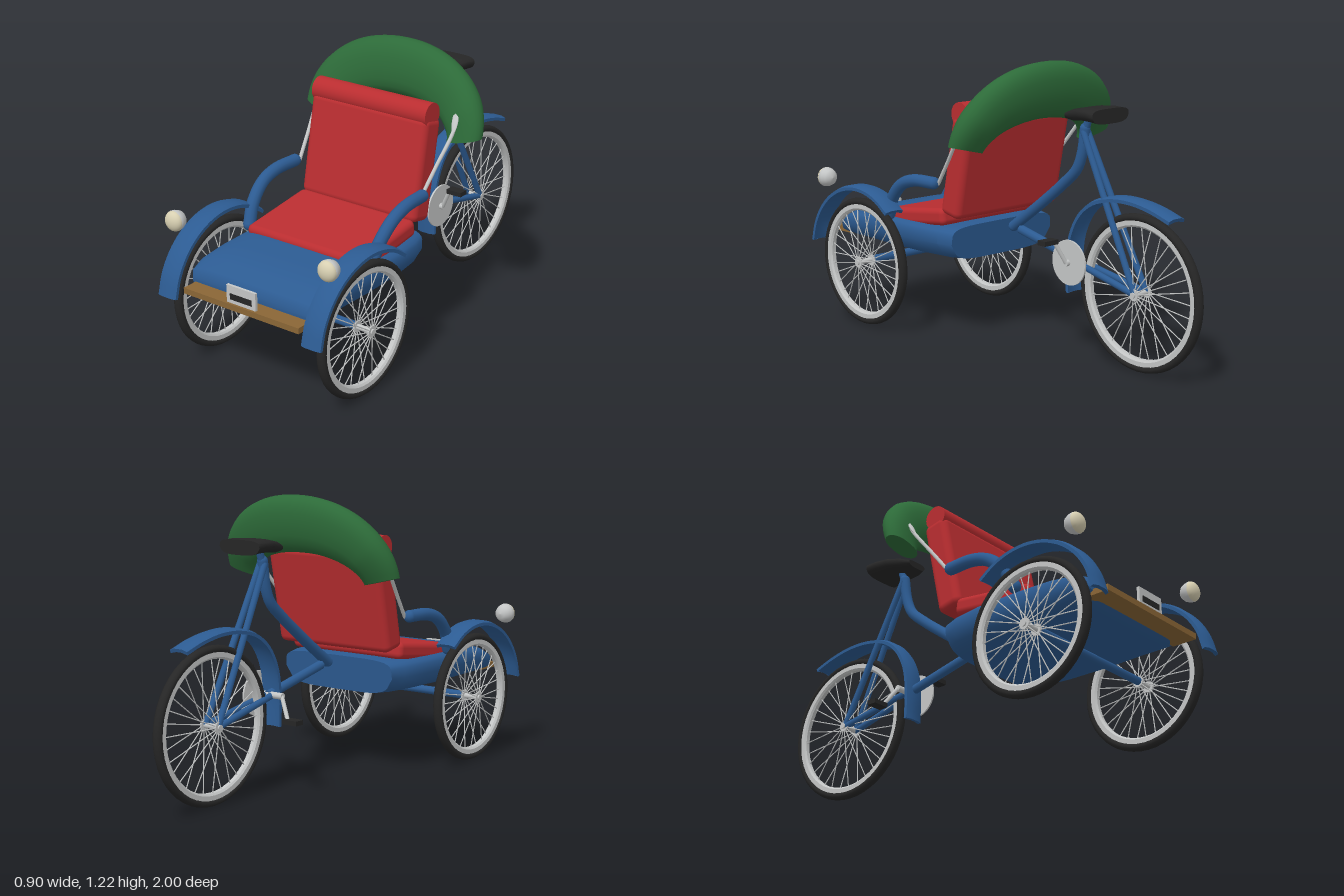
import * as THREE from 'three';
import { mergeGeometries, toCreasedNormals } from 'three/addons/utils/BufferGeometryUtils.js';
import { RoundedBoxGeometry } from 'three/addons/geometries/RoundedBoxGeometry.js';

const paint = (name, color) => Object.assign(new THREE.MeshStandardMaterial({ color }), { name });
const blue = paint('blue paint', 0x2c5b92), red = paint('red upholstery', 0xb92d30);
const green = paint('green canopy', 0x2d6b39), black = paint('black rubber', 0x262626);
const metal = paint('light metal', 0xc4c6c6), cream = paint('cream lens', 0xd8d0b2);
const wood = paint('wood', 0x8a6636);
const V = (x, y, z) => new THREE.Vector3(x, y, z);

export function createModel() {
  const root = new THREE.Group();
  root.name = 'cycleRickshaw';

  const add = (name, geo, mat, pos = [0, 0, 0], parent = root) => {
    const m = new THREE.Mesh(geo, mat);
    m.name = name;
    m.position.set(...pos);
    parent.add(m);
    return m;
  };
  const box = (name, w, h, d, mat, pos) => add(name, new THREE.BoxGeometry(w, h, d), mat, pos);

  // straight round bar between two points
  const rodGeo = (a, b, r, sides = 10) => {
    const dir = b.clone().sub(a);
    const g = new THREE.CylinderGeometry(r, r, dir.length(), sides);
    g.applyQuaternion(new THREE.Quaternion().setFromUnitVectors(V(0, 1, 0), dir.normalize()));
    return g.translate((a.x + b.x) / 2, (a.y + b.y) / 2, (a.z + b.z) / 2);
  };
  const rod = (name, a, b, r, mat) => add(name, rodGeo(a, b, r), mat);

  // bent bar with rounded ends
  const bar = (name, pts, r, mat) => {
    const parts = [new THREE.TubeGeometry(new THREE.CatmullRomCurve3(pts), 28, r, 12)];
    for (const p of [pts[0], pts[pts.length - 1]]) {
      parts.push(new THREE.SphereGeometry(r, 12, 8).translate(p.x, p.y, p.z));
    }
    return add(name, mergeGeometries(parts), mat);
  };

  // closed skin over a row of cross-sections
  const loft = (rings, crease = 0.7) => {
    const tris = [], n = rings[0].length;
    for (let i = 0; i < rings.length - 1; i++) for (let j = 0; j < n; j++) {
      const k = (j + 1) % n, [a, b] = [rings[i], rings[i + 1]];
      tris.push([a[j], a[k], b[j]], [a[k], b[k], b[j]]);
    }
    [rings[0], rings[rings.length - 1]].forEach((ring, end) => {
      const c = ring.reduce((s, p) => s.add(p), V(0, 0, 0)).divideScalar(n);
      for (let j = 0; j < n; j++) {
        const p = ring[j], q = ring[(j + 1) % n];
        tris.push(end ? [c, p, q] : [c, q, p]);
      }
    });
    let volume = 0;
    for (const [a, b, c] of tris) volume += a.dot(b.clone().cross(c));
    const pts = tris.flatMap(([a, b, c]) => (volume < 0 ? [a, c, b] : [a, b, c]));
    return toCreasedNormals(new THREE.BufferGeometry().setFromPoints(pts), crease);
  };
  // rounded box section across x, tapered towards its underside
  const section = (z, hw, y0, y1, taper = 1, power = 0.4, lean = 0) => Array.from({ length: 32 }, (_, i) => {
    const t = i / 32 * Math.PI * 2, c = Math.cos(t), s = Math.sin(t);
    const px = Math.sign(c) * Math.abs(c) ** power, py = Math.sign(s) * Math.abs(s) ** power;
    const w = hw * (py < 0 ? 1 + (taper - 1) * -py : 1);
    return V(px * w, (y0 + y1) / 2 + py * (y1 - y0) / 2, z - lean * py);
  });

  // wheels
  const wheel = (name, x, y, z, outer, hub) => {
    const g = new THREE.Group(), tyre = 0.017, R = outer - tyre, spokes = 32;
    g.name = name;
    g.position.set(x, y, z);
    root.add(g);
    add('tyre', new THREE.TorusGeometry(R, tyre, 12, 48).scale(1, 1, 1.25).rotateY(Math.PI / 2), black, [0, 0, 0], g);
    const rimPts = [[-0.01, -0.016], [-0.01, 0.016], [-0.03, 0.016], [-0.038, 0.009], [-0.038, -0.009], [-0.03, -0.016], [-0.01, -0.016]]
      .map(([dr, h]) => new THREE.Vector2(R + dr, h));
    add('rim', toCreasedNormals(new THREE.LatheGeometry(rimPts, 48).rotateZ(Math.PI / 2), 0.5), metal, [0, 0, 0], g);
    const parts = [new THREE.CylinderGeometry(0.012, 0.012, hub * 2.2, 12).rotateZ(Math.PI / 2)];
    for (const s of [-1, 1]) {
      parts.push(new THREE.CylinderGeometry(0.024, 0.024, 0.008, 14).rotateZ(Math.PI / 2).translate(s * hub * 0.85, 0, 0));
    }
    add('hub', mergeGeometries(parts), metal, [0, 0, 0], g);
    const wires = [];
    for (let i = 0; i < spokes; i++) {
      const t = i / spokes * Math.PI * 2, c = Math.cos(t), s = Math.sin(t), side = i % 2 ? 1 : -1;
      wires.push(rodGeo(V(side * hub * 0.85, c * 0.02, s * 0.02), V(0, c * (R - 0.03), s * (R - 0.03)), 0.0025, 5));
    }
    add('spokes', mergeGeometries(wires), metal, [0, 0, 0], g);
  };
  wheel('frontWheelLeft', 0.37, 0.293, 0.657, 0.286, 0.042);
  wheel('frontWheelRight', -0.37, 0.293, 0.657, 0.286, 0.042);
  wheel('rearWheel', 0, 0.33, -0.67, 0.327, 0.045);

  // mudguards: arched strips along a path of [z, y] points, running from front to back
  const mudguard = (name, pts, x, hw) => {
    const curve = new THREE.CatmullRomCurve3(pts.map(([z, y]) => V(0, y, z)));
    const rings = [];
    for (let i = 0; i <= 32; i++) {
      const p = curve.getPoint(i / 32), t = curve.getTangent(i / 32);
      rings.push([[-1, -0.022], [-1, -0.008], [-0.5, 0], [0.5, 0], [1, -0.008], [1, -0.022], [0.5, -0.014], [-0.5, -0.014]]
        .map(([u, h]) => V(x + u * hw, p.y - t.z * h, p.z + t.y * h)));
    }
    add(name, loft(rings, 0.6), blue);
  };
  const arc = Array.from({ length: 9 }, (_, i) => {
    const t = THREE.MathUtils.degToRad(9 + i * 15.2);
    return [0.66 + 0.343 * Math.cos(t), 0.295 + 0.343 * Math.sin(t)];
  });
  mudguard('frontMudguardLeft', arc, 0.37, 0.047);
  mudguard('frontMudguardRight', arc, -0.37, 0.047);
  mudguard('rearMudguard', [[-0.281, 0.27], [-0.278, 0.4], [-0.296, 0.52], [-0.35, 0.62], [-0.43, 0.682],
    [-0.54, 0.712], [-0.65, 0.715], [-0.76, 0.697], [-0.86, 0.666]], 0, 0.045);

  // passenger tub
  add('tub', loft([
    section(0.9, 0.31, 0.39, 0.43), section(0.885, 0.323, 0.375, 0.465, 0.95), section(0.83, 0.328, 0.365, 0.495, 0.92),
    section(0.7, 0.33, 0.36, 0.512, 0.9), section(0.55, 0.33, 0.355, 0.518, 0.9), section(0.35, 0.33, 0.355, 0.518, 0.88),
    section(0.22, 0.315, 0.355, 0.515, 0.85, 0.4, -0.01), section(0.155, 0.29, 0.357, 0.51, 0.85, 0.4, 0.008),
  ]), blue);
  box('footboard', 0.59, 0.025, 0.11, wood, [0, 0.39, 0.915]);
  box('plate', 0.148, 0.078, 0.012, metal, [0, 0.439, 0.954]);
  box('plateInset', 0.11, 0.025, 0.004, black, [0, 0.432, 0.961]);

  // front axle
  rod('frontAxle', V(-0.33, 0.295, 0.657), V(0.33, 0.295, 0.657), 0.018, blue);

  // seat
  add('seatCushion', new RoundedBoxGeometry(0.595, 0.075, 0.38, 4, 0.025), red, [0, 0.525, 0.395]).rotation.x = 0.13;
  add('backrest', new RoundedBoxGeometry(0.595, 0.44, 0.118, 4, 0.03), red, [0, 0.772, 0.128]).rotation.x = -0.2;
  add('headRoll', new THREE.CylinderGeometry(0.052, 0.052, 0.585, 28).rotateZ(Math.PI / 2), red, [0, 1.003, 0.094]);

  // folded canopy: a padded arch, deepest at the crown, leaning backwards as it rises
  const hood = [];
  for (let i = 0; i <= 40; i++) {
    const t = i / 40 * Math.PI, s = Math.sin(t);
    const c = Math.sign(Math.cos(t)) * Math.abs(Math.cos(t)) ** 0.93;
    const fat = Math.min(1, 0.72 + 2 * Math.min(i, 40 - i) / 40);
    hood.push(Array.from({ length: 20 }, (_, j) => {
      const a = j / 20 * Math.PI * 2, u = Math.sign(Math.cos(a)) * Math.abs(Math.cos(a)) ** 0.8;
      const rx = 0.368 + 0.082 * u, ry = 0.225 + 0.122 * u;
      const z = -0.028 - 0.085 * s - 0.015 * u * s + 0.065 * fat * Math.sin(a);
      return V(rx * c, 0.876 + 0.02 * u * (1 - s) + ry * s, z);
    }));
  }
  add('canopy', loft(hood, 0.9), green);

  // paired side fittings
  for (const s of [1, -1]) {
    const side = s > 0 ? 'Left' : 'Right';
    bar('armrest' + side, [V(s * 0.318, 0.52, 0.54), V(s * 0.33, 0.6, 0.5), V(s * 0.338, 0.67, 0.425),
      V(s * 0.338, 0.698, 0.34), V(s * 0.333, 0.702, 0.22)], 0.027, blue);
    bar('canopyStrut' + side, [V(s * 0.322, 0.7, 0.2), V(s * 0.335, 0.8, 0.125), V(s * 0.352, 0.93, 0.027),
      V(s * 0.337, 1.0, -0.02)], 0.008, metal);
    const blade = new THREE.SphereGeometry(1, 16, 12).scale(0.015, 0.055, 0.006).rotateZ(s * 0.2).rotateX(-0.62);
    add('strutBlade' + side, blade, metal, [s * 0.345, 0.965, 0.006]);
    // headlamp: metal bowl behind a domed lens
    const bowl = new THREE.LatheGeometry([[0, 0], [0.02, 0.004], [0.034, 0.016], [0.042, 0.035], [0.044, 0.05], [0.038, 0.054]]
      .map(([r, h]) => new THREE.Vector2(r, h)), 24).rotateX(Math.PI / 2);
    add('lampBowl' + side, bowl, metal, [s * 0.39, 0.645, 0.855]);
    const lens = new THREE.SphereGeometry(0.043, 24, 8, 0, Math.PI * 2, 0, Math.PI / 2).scale(1, 0.65, 1).rotateX(Math.PI / 2);
    add('lampLens' + side, lens, cream, [s * 0.39, 0.645, 0.907]);
    // rear fork
    rod('seatStay' + side, V(s * 0.012, 0.955, -0.352), V(s * 0.034, 0.33, -0.67), 0.014, blue);
    rod('chainStay' + side, V(s * 0.015, 0.403, -0.315), V(s * 0.034, 0.33, -0.67), 0.014, blue);
  }

  // rear frame
  bar('mainTube', [V(0, 0.49, 0.08), V(0, 0.62, -0.1), V(0, 0.725, -0.235), V(0, 0.79, -0.305), V(0, 0.86, -0.335), V(0, 0.965, -0.352)], 0.023, blue);
  rod('lowerTube', V(0, 0.483, 0.035), V(0, 0.403, -0.32), 0.02, blue);
  rod('seatPost', V(0, 0.94, -0.348), V(0, 1.02, -0.375), 0.016, blue);

  // saddle
  add('saddle', loft([
    section(-0.28, 0.05, 1.0, 1.03, 0.85, 0.55), section(-0.33, 0.076, 0.998, 1.048, 0.85, 0.55), section(-0.39, 0.093, 1.004, 1.06, 0.85, 0.55),
    section(-0.45, 0.102, 1.004, 1.064, 0.85, 0.55), section(-0.495, 0.105, 1.0, 1.062, 0.85, 0.55),
  ]), black);

  // chainwheel, cranks and pedals
  add('chainwheel', new THREE.CylinderGeometry(0.096, 0.096, 0.008, 36).rotateZ(Math.PI / 2), metal, [0.055, 0.405, -0.318]);
  rod('crankAxle', V(-0.075, 0.405, -0.315), V(0.075, 0.405, -0.315), 0.014, metal);
  rod('crankLeft', V(0.07, 0.405, -0.315), V(0.12, 0.5, -0.295), 0.009, metal);
  rod('crankRight', V(-0.07, 0.405, -0.315), V(-0.13, 0.315, -0.35), 0.009, metal);
  box('pedalLeft', 0.075, 0.02, 0.045, black, [0.155, 0.503, -0.295]);
  box('pedalRight', 0.075, 0.02, 0.045, black, [-0.157, 0.315, -0.353]);

  return root;
}
